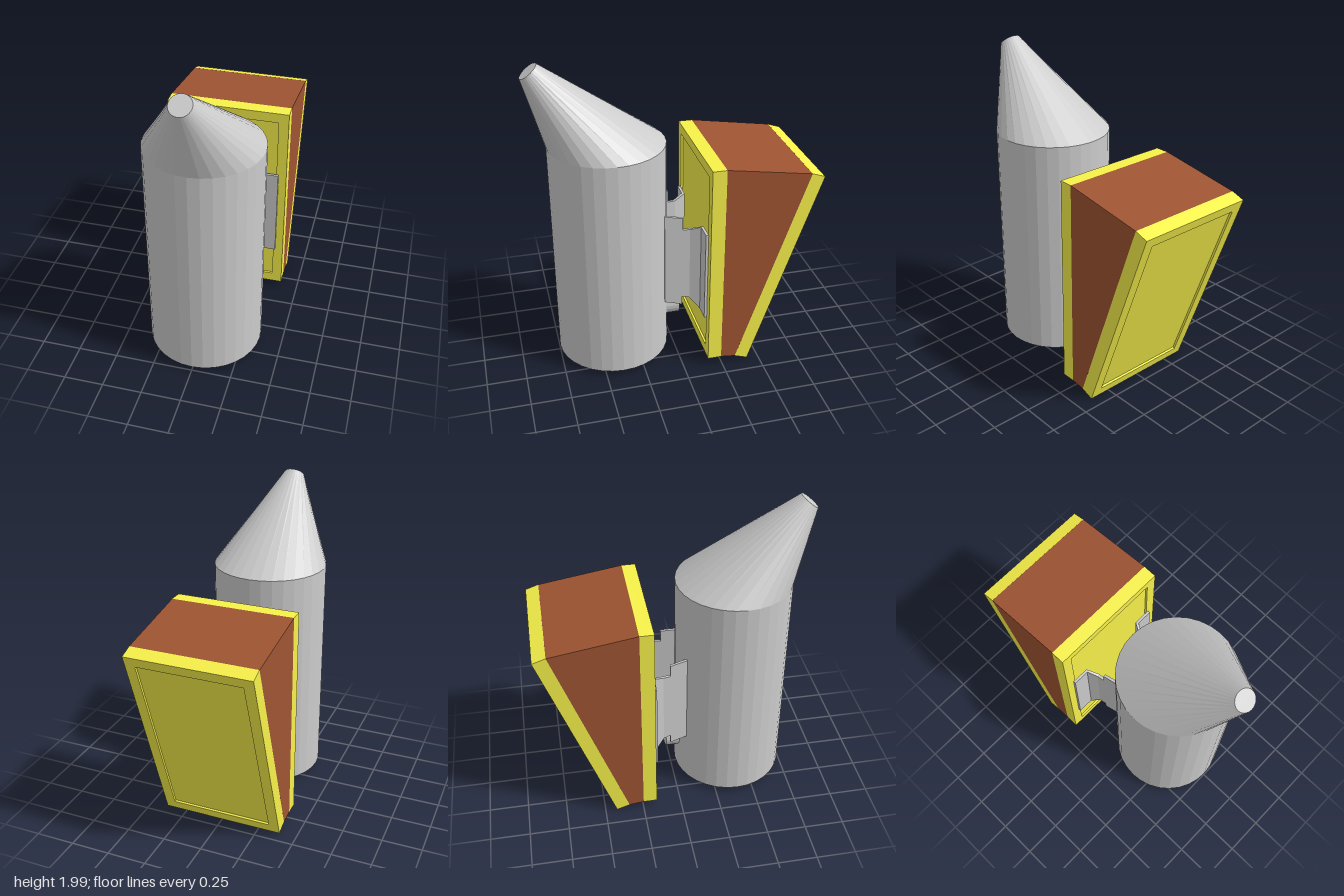
import * as THREE from 'three';

const metal = new THREE.MeshStandardMaterial({ color: 0xcccccc, flatShading: true });
const wood = new THREE.MeshStandardMaterial({ color: 0xf8f24a, flatShading: true });
const leather = new THREE.MeshStandardMaterial({ color: 0x9e5432, flatShading: true });

const SIDES = 32;

function part(name, geometry, material) {
  const mesh = new THREE.Mesh(geometry, material);
  mesh.name = name;
  return mesh;
}

// Slanted spout: a cylinder whose top ring is tilted and pushed forward
function spoutGeometry() {
  const geometry = new THREE.CylinderGeometry(0.065, 0.36, 1, SIDES);
  const p = geometry.attributes.position;
  for (let i = 0; i < p.count; i++) {
    const z = p.getZ(i);
    if (p.getY(i) > 0) p.setXYZ(i, p.getX(i), 1.96 - z * 0.62, 0.82 + z * 0.78);
    else p.setXYZ(i, p.getX(i), 1.48, 0.39 + z);
  }
  geometry.computeVertexNormals();
  return geometry;
}

// Board with a shallow rectangular recess; its outer face lies at z = 0 facing +z
function board(name) {
  const w = 0.78, h = 1.35, thick = 0.088, inset = 0.065, recess = 0.014;
  const rect = (Type, a, b) => new Type([
    new THREE.Vector2(-a, -b), new THREE.Vector2(a, -b),
    new THREE.Vector2(a, b), new THREE.Vector2(-a, b),
  ]);
  const outline = rect(THREE.Shape, w / 2, h / 2);
  outline.holes.push(rect(THREE.Path, w / 2 - inset, h / 2 - inset));
  const rim = new THREE.ExtrudeGeometry(outline, { depth: recess, bevelEnabled: false });
  rim.translate(0, 0, -recess);
  const panel = new THREE.BoxGeometry(w, h, thick - recess);
  panel.translate(0, 0, -(thick + recess) / 2);
  const group = new THREE.Group();
  group.name = name;
  group.add(part(name + 'Rim', rim, wood), part(name + 'Panel', panel, wood));
  return group;
}

// Bent bracket plate lofted through stations: inner x, z, outer x, z, bottom, top
function bracketGeometry(side) {
  const stations = [
    [0.158, 0.075, 0.176, 0.075, 0.39, 1.02],
    [0.178, -0.035, 0.196, -0.035, 0.37, 1.005],
    [0.178, -0.035, 0.196, -0.035, 0.43, 0.925],
    [0.186, -0.085, 0.204, -0.08, 0.42, 0.925],
    [0.225, -0.159, 0.235, -0.142, 0.345, 0.95],
    [0.34, -0.159, 0.34, -0.142, 0.345, 0.95],
  ];
  const positions = [], index = [];
  for (const [xi, zi, xo, zo, bottom, top] of stations) {
    positions.push(side * xi, bottom, zi, side * xo, bottom, zo);
    positions.push(side * xo, top, zo, side * xi, top, zi);
  }
  const quad = (a, b, c, d) => {
    if (side > 0) index.push(a, b, c, a, c, d);
    else index.push(a, c, b, a, d, c);
  };
  for (let s = 0; s < stations.length - 1; s++) {
    for (let k = 0; k < 4; k++) {
      const a = s * 4 + k, b = s * 4 + (k + 1) % 4;
      quad(a, a + 4, b + 4, b);
    }
  }
  const e = (stations.length - 1) * 4;
  quad(0, 1, 2, 3);
  quad(e + 3, e + 2, e + 1, e);
  const geometry = new THREE.BufferGeometry();
  geometry.setAttribute('position', new THREE.Float32BufferAttribute(positions, 3));
  geometry.setIndex(index);
  const flat = geometry.toNonIndexed();
  flat.computeVertexNormals();
  return flat;
}

export function createModel() {
  const model = new THREE.Group();
  model.name = 'beeSmoker';

  // Fire can and slanted spout
  const can = part('fireCan', new THREE.CylinderGeometry(0.36, 0.36, 1.44, SIDES), metal);
  can.position.set(0, 0.76, 0.39);
  model.add(can, part('spout', spoutGeometry(), metal));

  // Air inlet low on the back of the can
  const inlet = part('airInlet', new THREE.CylinderGeometry(0.095, 0.095, 0.145, 24), metal);
  inlet.rotation.x = Math.PI / 2;
  inlet.position.set(0, 0.293, 0.027);
  model.add(inlet);

  // Brackets joining can and bellows
  const bracketMetal = metal.clone();
  bracketMetal.side = THREE.DoubleSide;
  model.add(part('leftBracket', bracketGeometry(1), bracketMetal));
  model.add(part('rightBracket', bracketGeometry(-1), bracketMetal));

  // Bellows: upright front board, tilted back board, leather wedge between
  const bellows = new THREE.Group();
  bellows.name = 'bellows';
  const front = board('frontBoard');
  front.position.set(0, 0.725, -0.16);
  const back = board('backBoard');
  back.position.set(0, 0.6475, -0.645);
  back.rotation.set(-0.332, Math.PI, 0);
  const wedge = new THREE.Shape([
    new THREE.Vector2(0.248, 0.05), new THREE.Vector2(0.342, 0.039),
    new THREE.Vector2(0.782, 1.314), new THREE.Vector2(0.248, 1.4),
  ]);
  const leatherGeometry = new THREE.ExtrudeGeometry(wedge, { depth: 0.78, bevelEnabled: false });
  leatherGeometry.translate(0, 0, -0.39).rotateY(Math.PI / 2);
  bellows.add(front, back, part('leatherWedge', leatherGeometry, leather));
  model.add(bellows);

  return model;
}
